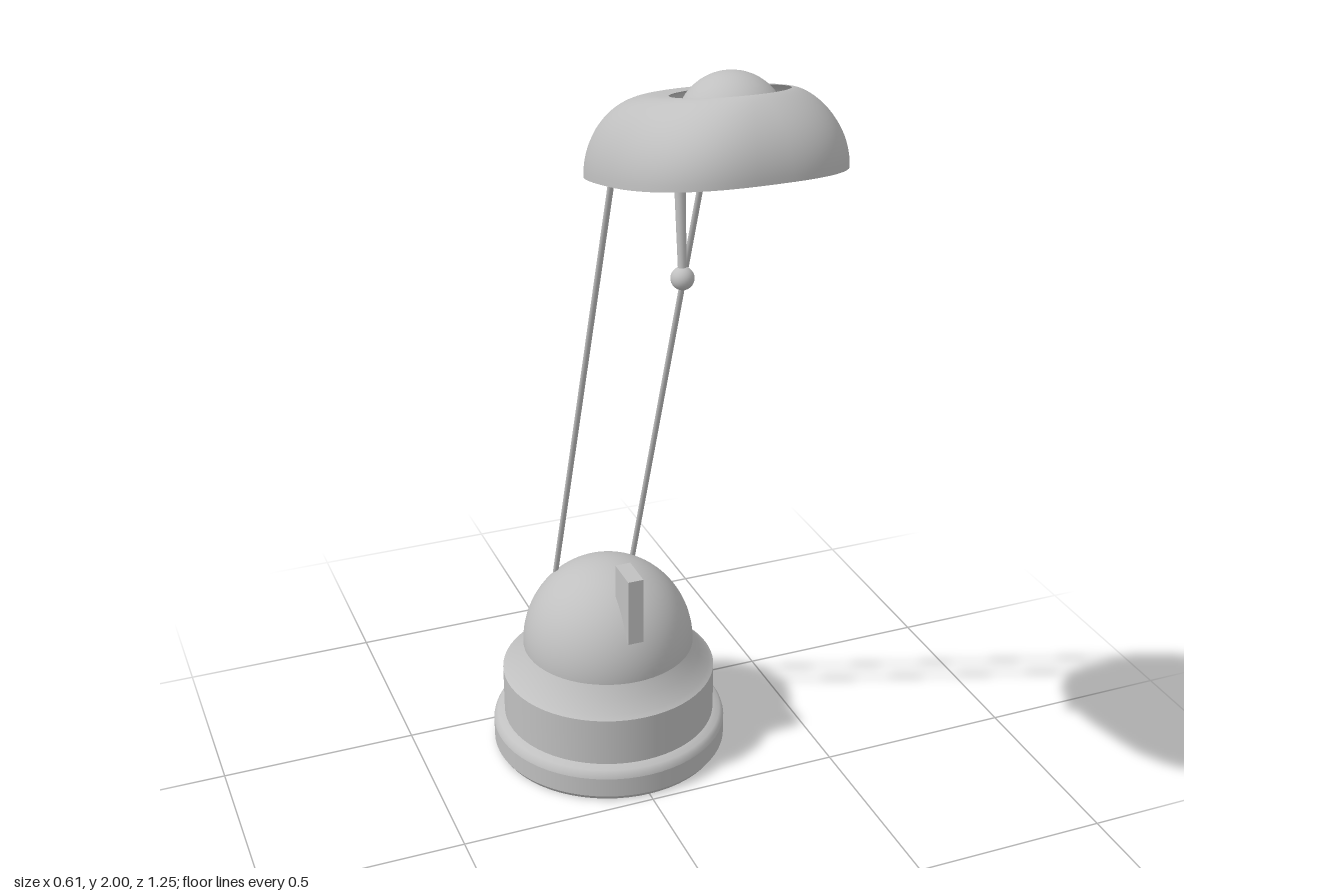
import * as THREE from 'three';

const V = (x, y, z) => new THREE.Vector3(x, y, z);

// Tilted plane in which the lower rim of the lamp head lies
const rimY = z => 1.71 + (z - 0.035) * 0.22;
const signedPow = (v, e) => Math.sign(v) * Math.pow(Math.abs(v), e);

// Closed outlines of the head: [x, z] at angle t
const outerRim = t => [0.239 * signedPow(Math.cos(t), 0.76), 0.329 + 0.297 * signedPow(Math.sin(t), 0.76)];
const opening = t => [0.2 * Math.cos(t), 0.425 + 0.165 * Math.sin(t)];
const topHole = t => [0.117 * Math.cos(t), 0.406 + 0.126 * Math.sin(t)];

// Surface between two outlines, bulging up to the given height; flatter at the back, steeper at the front
function loft(from, to, height, rows) {
  const n = 72, pos = [], idx = [];
  for (let i = 0; i <= rows; i++) {
    const a = (i / rows) * Math.PI / 2;
    for (let j = 0; j < n; j++) {
      const t = (j / n) * Math.PI * 2;
      const q = i === rows ? 1 : 1 - Math.pow(Math.cos(a), 1.1 + 0.6 * Math.sin(t));
      const [x0, z0] = from(t), [x1, z1] = to(t);
      const x = x0 + (x1 - x0) * q, z = z0 + (z1 - z0) * q;
      pos.push(x, rimY(z) + height * Math.sin(a), z);
      if (i < rows) {
        const k = (j + 1) % n, p = i * n + j, r = i * n + k;
        idx.push(p, p + n, r, r, p + n, r + n);
      }
    }
  }
  const g = new THREE.BufferGeometry();
  g.setAttribute('position', new THREE.Float32BufferAttribute(pos, 3));
  g.setIndex(idx);
  g.computeVertexNormals();
  return g;
}

export function createModel() {
  const model = new THREE.Group();
  model.name = 'deskLamp';
  const grey = new THREE.MeshStandardMaterial({ color: 0xc0c0c0, side: THREE.DoubleSide });
  grey.name = 'grey';

  const add = (parent, name, geometry, x = 0, y = 0, z = 0) => {
    const m = new THREE.Mesh(geometry, grey);
    m.name = name;
    m.position.set(x, y, z);
    parent.add(m);
    return m;
  };
  const rod = (parent, name, a, b, ra, rb) => {
    const m = add(parent, name, new THREE.CylinderGeometry(rb, ra, a.distanceTo(b), 16));
    m.position.copy(a).lerp(b, 0.5);
    m.quaternion.setFromUnitVectors(V(0, 1, 0), b.clone().sub(a).normalize());
  };
  const group = name => {
    const g = new THREE.Group();
    g.name = name;
    model.add(g);
    return g;
  };

  // Base: turned bands kept separate so their edges stay crisp
  const base = group('base');
  base.position.z = -0.323;
  const bands = {
    footUnderside: [[0, 0], [0.298, 0]],
    footBevel: [[0.298, 0], [0.306, 0.012]],
    footSide: [[0.306, 0.012], [0.306, 0.065]],
    footTop: [[0.306, 0.065], [0.303, 0.075], [0.295, 0.085], [0.277, 0.092]],
    drum: [[0.277, 0.092], [0.277, 0.222]],
    shoulder: [[0.277, 0.222], [0.265, 0.232], [0.24, 0.262], [0.222, 0.295]],
  };
  for (const [name, pts] of Object.entries(bands)) {
    add(base, name, new THREE.LatheGeometry(pts.map(p => new THREE.Vector2(...p)), 64));
  }
  const dome = new THREE.SphereGeometry(0.222, 64, 24, 0, Math.PI * 2, 0, Math.PI / 2);
  add(base, 'dome', dome, 0, 0.295, 0).scale.y = 1.035;

  // Upright tab on the front of the dome
  add(model, 'tab', new THREE.BoxGeometry(0.04, 0.18, 0.092), 0, 0.49, -0.162);

  // Twin arms
  for (const s of [1, -1]) {
    rod(model, s > 0 ? 'leftArm' : 'rightArm', V(s * 0.107, 0.466, -0.423), V(s * 0.107, 1.735, 0.052), 0.007, 0.007);
  }

  // Lamp head
  const head = group('head');
  add(head, 'shell', loft(outerRim, topHole, 0.167, 20));
  add(head, 'liner', loft(opening, topHole, 0.167, 12));
  add(head, 'undersidePlate', loft(outerRim, opening, 0, 1));
  add(head, 'bulb', new THREE.SphereGeometry(0.11, 40, 28), 0, 1.89, 0.415);

  // Adjusting handle with ball end
  const handle = group('handle');
  rod(handle, 'handleRod', V(0, 1.487, 0.172), V(0, 1.74, 0.15), 0.009, 0.013);
  add(handle, 'handleBall', new THREE.SphereGeometry(0.026, 24, 16), 0, 1.487, 0.172);

  return model;
}
